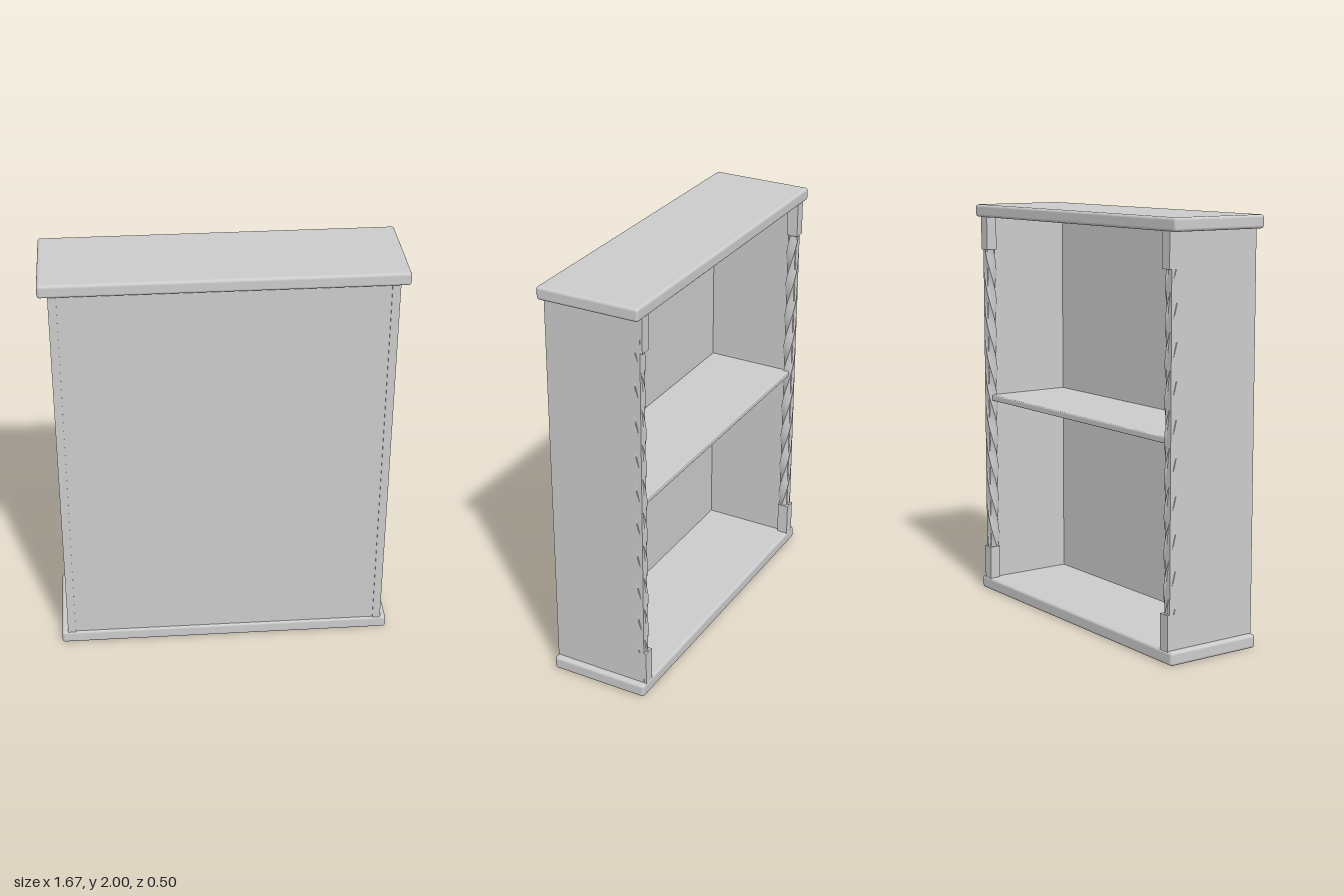
import * as THREE from 'three';
import { RoundedBoxGeometry } from 'three/addons/geometries/RoundedBoxGeometry.js';

const material = new THREE.MeshStandardMaterial({ color: 0xcccccc });

function add(parent, name, geometry, x, y, z) {
  const mesh = new THREE.Mesh(geometry, material);
  mesh.name = name;
  mesh.position.set(x, y, z);
  parent.add(mesh);
  return mesh;
}

// Square bar twisted about its height; hand (+1 / -1) sets the direction
function twistedBar(side, height, quarterTurns, hand) {
  const geometry = new THREE.BoxGeometry(side, height, side, 2, quarterTurns * 10, 2);
  const p = geometry.attributes.position;
  for (let i = 0; i < p.count; i++) {
    const t = p.getY(i) / height + 0.5;
    const a = hand * (Math.PI / 4 + t * quarterTurns * Math.PI / 2);
    const x = p.getX(i), z = p.getZ(i);
    p.setX(i, x * Math.cos(a) - z * Math.sin(a));
    p.setZ(i, x * Math.sin(a) + z * Math.cos(a));
  }
  geometry.computeVertexNormals();
  return geometry;
}

export function createModel() {
  const model = new THREE.Group();
  model.name = 'bookcase';

  // Rounded slabs at top and bottom
  add(model, 'topSlab', new RoundedBoxGeometry(1.666, 0.062, 0.502, 3, 0.014), 0, 1.969, 0);
  add(model, 'baseSlab', new RoundedBoxGeometry(1.634, 0.064, 0.492, 3, 0.014), 0, 0.032, 0);

  // Thin closing panel and middle shelf
  add(model, 'closingPanel', new THREE.BoxGeometry(1.5, 1.88, 0.012), 0, 1, 0.23);
  add(model, 'shelf', new RoundedBoxGeometry(1.5, 0.03, 0.445, 2, 0.006), 0, 1.015, 0.0025);

  for (const s of [1, -1]) {
    // Side panel
    add(model, s > 0 ? 'leftSide' : 'rightSide',
      new THREE.BoxGeometry(0.038, 1.88, 0.474), s * 0.768, 1, 0.004);

    // Twisted column between two square blocks on the open edge
    const column = new THREE.Group();
    column.name = s > 0 ? 'leftColumn' : 'rightColumn';
    column.position.x = s * 0.759;
    model.add(column);
    add(column, 'lowerBlock', new THREE.BoxGeometry(0.055, 0.17, 0.055), 0, 0.145, -0.217);
    add(column, 'upperBlock', new THREE.BoxGeometry(0.055, 0.165, 0.055), 0, 1.8575, -0.217);
    add(column, 'twist', twistedBar(0.043, 1.545, 9, s), 0, 1.0025, -0.21);
  }
  return model;
}
